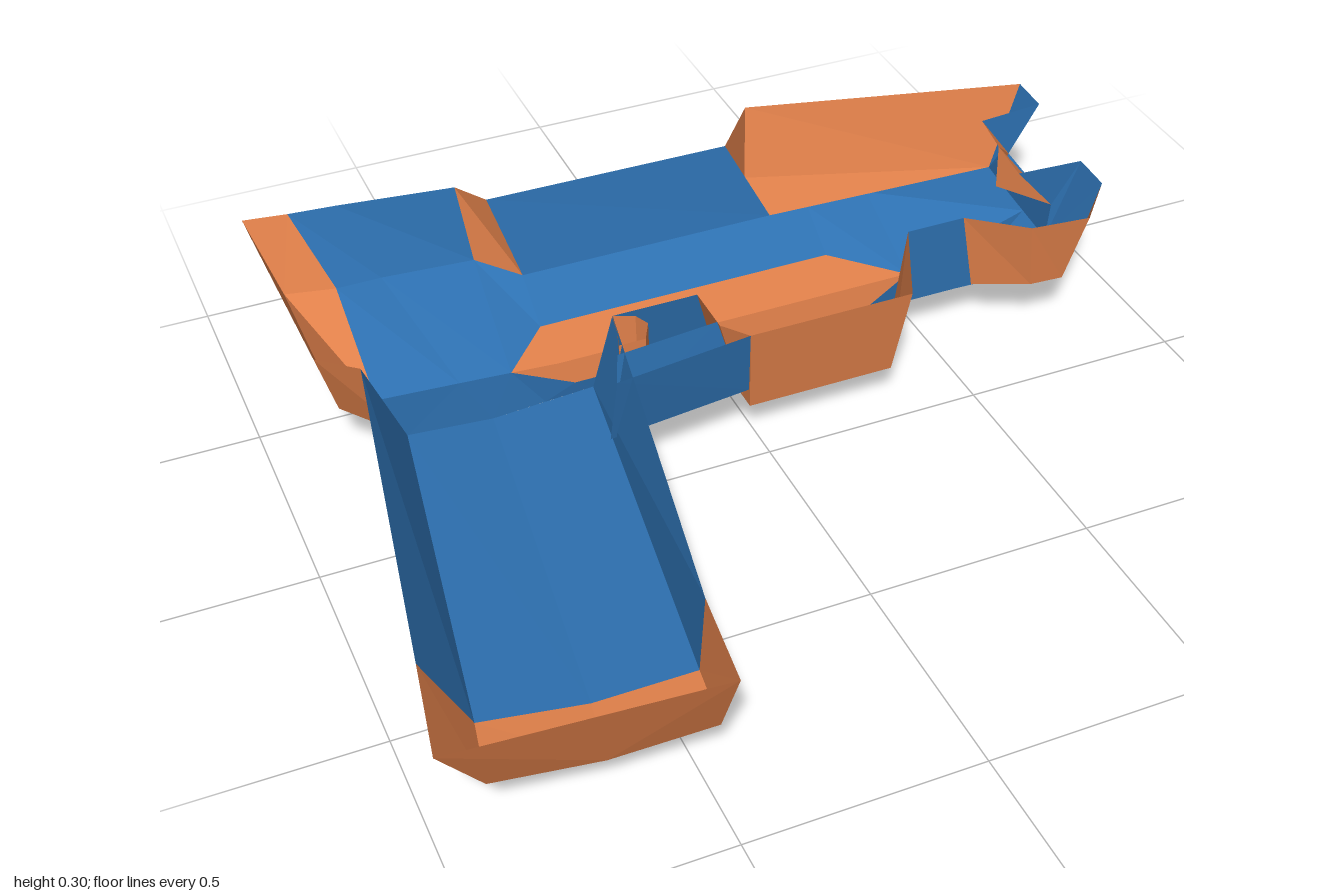
import * as THREE from 'three';

const BLUE = 0x2d70b0, ORANGE = 0xe0804a;
const material = (color) =>
  new THREE.MeshStandardMaterial({ color, flatShading: true, side: THREE.DoubleSide });
const mats = { [BLUE]: material(BLUE), [ORANGE]: material(ORANGE) };

// Quads between two polylines with equal point counts
const strip = (a, b) => a.slice(1).map((p, i) => [a[i], p, b[i + 1], b[i]]);
// Lift [x, z] pairs to a given height
const at = (y, pts) => pts.map(([x, z]) => [x, y, z]);
const RIM = 0.3;

// Mesh made of flat polygons, fanned from their first corner
function panels(name, color, faces) {
  const pos = [];
  for (const f of faces)
    for (let i = 1; i < f.length - 1; i++) pos.push(...f[0], ...f[i], ...f[i + 1]);
  const g = new THREE.BufferGeometry();
  g.setAttribute('position', new THREE.Float32BufferAttribute(pos, 3));
  g.computeVertexNormals();
  const m = new THREE.Mesh(g, mats[color]);
  m.name = name;
  return m;
}

export function createModel() {
  const model = new THREE.Group();
  model.name = 'pistolHalfShell';
  const add = (...args) => model.add(panels(...args));

  // Body floor: lower edge, keel and upper edge, running from rear to muzzle
  const lower = [[-0.73, 0.1, -0.25], [-0.54, 0.085, -0.25], [-0.42, 0.093, -0.25], [-0.31, 0.1, -0.25],
    [0.42, 0.11, -0.25], [0.58, 0.11, -0.25], [0.88, 0.1, -0.25]];
  const keel = (z) => [[-0.73, 0, -0.525], [-0.54, 0, -0.51], [-0.42, 0, -0.5], [-0.31, 0.025, z],
    [0.42, 0.025, z], [0.58, 0, -0.49], [0.89, 0.1, -0.49]];
  const upper = [[-0.73, 0.13, -0.8], [-0.62, 0.12, -0.815], [-0.4, 0.115, -0.805], [-0.31, 0.1, -0.72],
    [0.42, 0.1, -0.72], [0.58, 0.1, -0.72], [0.91, 0.1, -0.7]];
  const keelLow = keel(-0.375), keelHigh = keel(-0.61);
  add('bodyFloor', BLUE, [...strip(lower, keelLow), ...strip(upper, keelHigh)]);

  // Orange ridge panel along the keel
  const tipRear = keelLow[2], tipFront = keelLow[5];
  const midRear = [-0.31, 0, -0.49], midFront = [0.42, 0, -0.49];
  add('ridgePanel', ORANGE, [
    ...[keelLow, keelHigh].flatMap((k) => [
      [k[3], k[4], midFront, midRear], [tipRear, k[3], midRear], [k[4], tipFront, midFront]]),
  ]);

  // Side walls of the body
  add('upperWall', BLUE, strip(at(RIM, [[-0.37, -0.76], [0.22, -0.755]]), [upper[3], [0.32, 0.1, -0.72]]));
  add('lowerWall', BLUE, [
    ...strip(at(RIM, [[-0.27, -0.215], [-0.075, -0.215]]), [lower[3], [-0.02, 0.1, -0.25]]),
    ...strip(at(RIM, [[0.45, -0.25], [0.59, -0.25]]), [[0.42, 0.11, -0.25], [0.62, 0.11, -0.25]]),
  ]);
  const rearRim = at(RIM, [[-0.8, -0.885], [-0.69, -0.875], [-0.42, -0.84], [-0.37, -0.76]]);
  add('rearUpperWall', BLUE, strip(rearRim.slice(0, 3), upper.slice(0, 3)));
  add('rearStep', ORANGE, strip(rearRim.slice(2), upper.slice(2, 4)));

  // Rear cap
  const capRim = at(RIM, [[-0.8, -0.885], [-0.9, -0.9], [-0.89, -0.32], [-0.81, -0.25]]);
  const capBase = [upper[0], ...at(0.13, [[-0.845, -0.825], [-0.845, -0.36]]), lower[0]];
  add('rearCap', ORANGE, [...strip(capRim, capBase), [keelLow[0], ...capBase]]);

  // Front top sight hump
  const sightBase = [[0.32, 0.1, -0.72], [0.31, 0.135, -0.85], [0.91, 0.1, -0.7]];
  add('topSight', ORANGE, [
    ...strip(at(RIM, [[0.22, -0.755], [0.335, -0.9], [1, -0.73]]), sightBase),
    [...sightBase, upper[5]],
  ]);

  // Lug under the muzzle
  const lugBase = [[0.62, 0.11, -0.25], [0.73, 0.13, -0.17], [0.81, 0.13, -0.165], [0.88, 0.1, -0.25]];
  add('muzzleLug', ORANGE, [
    ...strip(at(RIM, [[0.59, -0.25], [0.71, -0.15], [0.85, -0.135], [0.95, -0.25]]), lugBase),
    lugBase,
  ]);

  // Muzzle: two ears with a low notch between them
  const notchA = [0.91, 0.19, -0.61], notchB = [0.89, 0.19, -0.365], notchBack = [0.81, 0.19, -0.49];
  const earA = [0.995, RIM, -0.625], earB = [0.955, RIM, -0.355];
  const boreA = [0.83, RIM, -0.61], boreB = [0.795, RIM, -0.365], boreMid = [0.81, RIM, -0.49];
  const footA = [0.9, 0.1, -0.61], footB = [0.88, 0.1, -0.365];
  add('muzzle', BLUE, [
    [upper[6], [1, RIM, -0.73], earA, notchA, footA],
    [footA, notchA, notchB, footB, keelLow[6]],
    [footB, notchB, earB, [0.95, RIM, -0.25], lower[6]],
    [notchA, notchB, notchBack],
    [notchA, earA, boreA], [notchB, earB, boreB],
  ]);
  add('bore', ORANGE, [[notchA, notchBack, boreMid, boreA], [notchB, notchBack, boreMid, boreB]]);

  // Grip trough: columns across its section, each at top, cut and butt
  const grip = [
    [[-0.81, RIM, -0.25], [-0.96, RIM, 0.63], [-1, RIM, 0.86]],
    [lower[0], [-0.87, 0.125, 0.64], [-0.9, 0.135, 0.8]],
    [lower[1], [-0.655, 0.11, 0.665], [-0.68, 0.115, 0.815]],
    [lower[3], [-0.445, 0.125, 0.68], [-0.465, 0.13, 0.83]],
    [[-0.27, RIM, -0.21], [-0.43, RIM, 0.68], [-0.455, RIM, 0.9]],
  ];
  const section = (i) => grip.map((c) => c[i]);
  add('grip', BLUE, strip(section(0), section(1)));
  add('gripButt', ORANGE, [
    ...strip(section(1), section(2)),
    [grip[2][2], grip[1][2], grip[0][2], grip[4][2], grip[3][2]],
  ]);

  // Trigger guard: block under the body and bar back to the grip
  const guardBase = [[0.42, 0.11, -0.25], ...at(0.09, [[0.32, -0.06], [-0.02, -0.06], [-0.02, -0.1]]),
    [-0.02, 0.1, -0.25]];
  add('guardBlock', ORANGE, [
    ...strip(at(RIM, [[0.45, -0.25], [0.35, -0.03], [-0.03, -0.03], [-0.075, -0.09], [-0.075, -0.215]]), guardBase),
    guardBase,
  ]);
  const bar = [
    at(RIM, [[-0.345, 0.01], [-0.03, -0.03]]),
    at(0.135, [[-0.355, -0.02], [-0.02, -0.06]]),
    at(0.135, [[-0.33, -0.055], [-0.02, -0.09]]),
    at(RIM, [[-0.31, -0.08], [-0.075, -0.105]]),
  ];
  add('guardBar', BLUE, bar.slice(1).flatMap((b, i) => strip(bar[i], b)));

  // Trigger blade
  const outline = [[-0.27, -0.215], [-0.225, -0.195], [-0.21, -0.16], [-0.235, -0.11], [-0.295, -0.11], [-0.28, -0.16]];
  const top = at(RIM, [...outline, outline[0]]), bottom = at(0.19, [...outline, outline[0]]);
  add('trigger', ORANGE, [...strip(top, bottom), bottom.slice(0, 6)]);

  return model;
}
